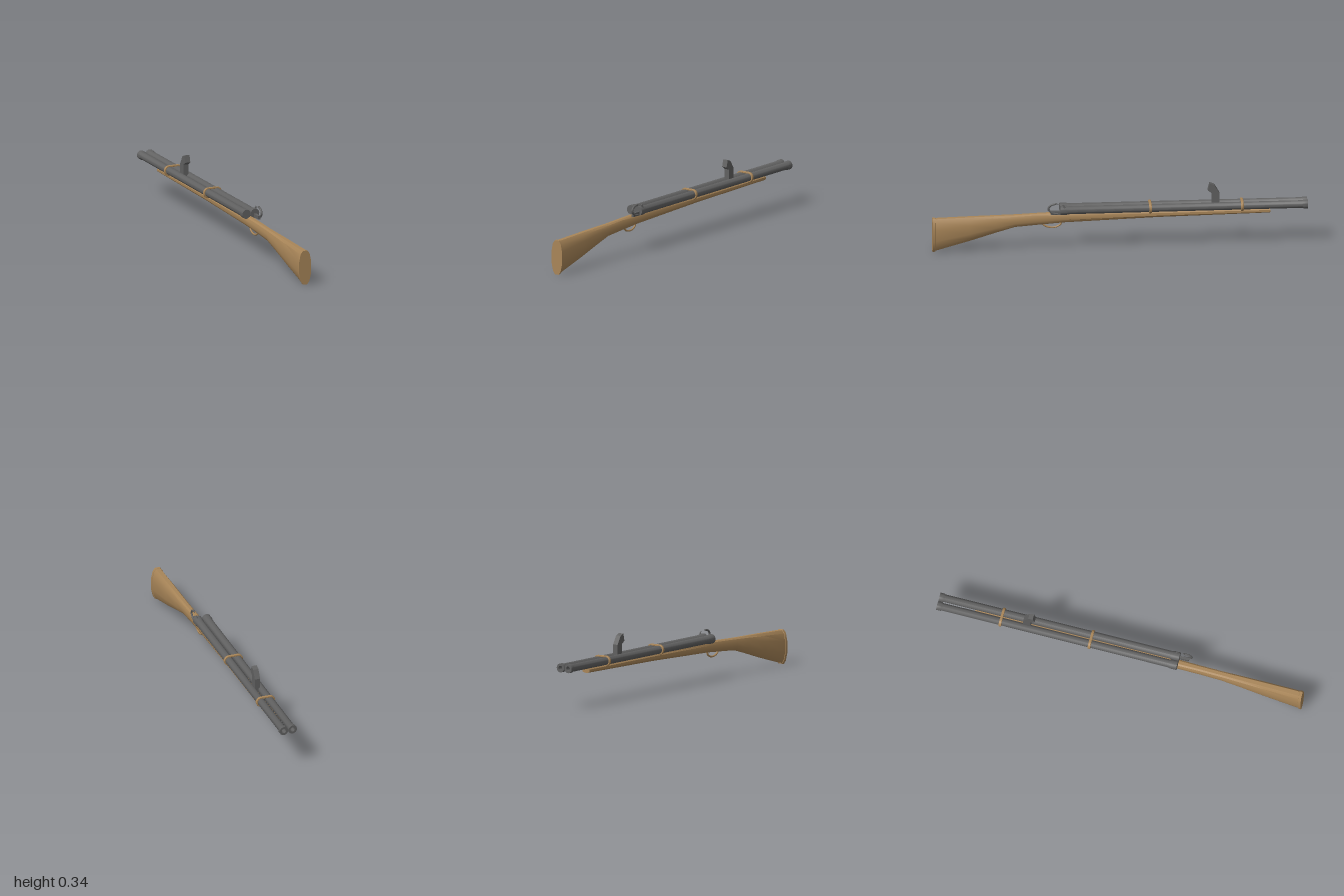
import * as THREE from 'three';
import { toCreasedNormals, mergeVertices } from 'three/addons/utils/BufferGeometryUtils.js';

const wood = new THREE.MeshStandardMaterial({ color: 0xa88558, side: THREE.DoubleSide });
const steel = new THREE.MeshStandardMaterial({ color: 0x606060 });

// Unit outline of the stock: a tall twelve-sided oval with flat top and bottom
const half = [[0.38, -1], [0.72, -0.8], [1, -0.36], [1, 0.36], [0.76, 0.8], [0.38, 1]];
const outline = [...half, ...half.map(([x, y]) => [-x, y]).reverse()];

// Skin through stations [z, bottom, top, half width], closed at both ends
function loft(stations) {
  const n = outline.length, pos = [], idx = [];
  const ring = ([z, y0, y1, w]) => outline.forEach(([x, y]) =>
    pos.push(x * w, (y0 + y1) / 2 + y * (y1 - y0) / 2, z));
  stations.forEach(ring);
  for (let s = 0; s < stations.length - 1; s++) {
    for (let i = 0; i < n; i++) {
      const a = s * n + i, b = s * n + (i + 1) % n;
      idx.push(a, a + n, b, b, a + n, b + n);
    }
  }
  const last = (stations.length - 1) * n;
  for (let i = 1; i < n - 1; i++) {
    idx.push(0, i, i + 1, last, last + i + 1, last + i);
  }
  const g = new THREE.BufferGeometry();
  g.setAttribute('position', new THREE.Float32BufferAttribute(pos, 3));
  g.setIndex(idx);
  return toCreasedNormals(mergeVertices(g), 0.5);
}

const tube = (points, radius, segments = 24) => new THREE.TubeGeometry(
  new THREE.CatmullRomCurve3(points.map(p => new THREE.Vector3(...p))), segments, radius, 8);

export function createModel() {
  const model = new THREE.Group();
  const add = (name, geometry, material, x = 0, y = 0, z = 0) => {
    const mesh = new THREE.Mesh(geometry, material);
    mesh.name = name;
    mesh.position.set(x, y, z);
    model.add(mesh);
    return mesh;
  };

  // Stock from butt to fore-end
  add('stock', loft([
    [1, 0, 0.186, 0.035], [0.985, 0.004, 0.186, 0.035], [0.984, 0.008, 0.184, 0.032],
    [0.8, 0.058, 0.189, 0.029], [0.66, 0.1, 0.192, 0.025], [0.56, 0.128, 0.194, 0.022],
    [0.44, 0.137, 0.199, 0.021], [0.3, 0.147, 0.203, 0.023],
    [-0.2, 0.163, 0.202, 0.024], [-0.8, 0.172, 0.2, 0.024],
  ]), wood);

  // Twin barrels: flared breech, flared muzzle and an open bore
  const barrelProfile = [
    [0, -0.32], [0.025, -0.32], [0.025, -0.29], [0.0215, -0.27],
    [0.0205, 0.97], [0.024, 0.978], [0.024, 1], [0.012, 1], [0.012, 0.88], [0, 0.88],
  ].map(p => new THREE.Vector2(...p));
  const barrel = toCreasedNormals(new THREE.LatheGeometry(barrelProfile, 24), 0.5).rotateX(-Math.PI / 2);
  add('leftBarrel', barrel, steel, 0.025, 0.22);
  add('rightBarrel', barrel, steel, -0.025, 0.22);

  // Bands wrapping both barrels
  const band = new THREE.Shape();
  band.absarc(0.025, 0, 0.026, -Math.PI / 2, Math.PI / 2);
  band.absarc(-0.025, 0, 0.026, Math.PI / 2, Math.PI * 1.5);
  const inner = new THREE.Path();
  inner.absarc(0.025, 0, 0.02, -Math.PI / 2, Math.PI / 2);
  inner.absarc(-0.025, 0, 0.02, Math.PI / 2, Math.PI * 1.5);
  band.holes.push(inner);
  const bandGeometry = new THREE.ExtrudeGeometry(band, {
    depth: 0.008, bevelThickness: 0.003, bevelSize: 0.002, bevelSegments: 2, curveSegments: 16,
  });
  [['rearBand', -0.16], ['frontBand', -0.65]].forEach(([name, z]) =>
    add(name, bandGeometry, wood, 0, 0.22, z - 0.004));

  // Upright sight with a hooked top, drawn in side profile
  const sight = new THREE.Shape([
    [0.49, 0.215], [0.53, 0.215], [0.53, 0.29], [0.503, 0.335],
    [0.478, 0.345], [0.468, 0.306], [0.49, 0.29],
  ].map(p => new THREE.Vector2(...p)));
  const sightGeometry = new THREE.ExtrudeGeometry(sight, { depth: 0.03, bevelEnabled: false });
  sightGeometry.translate(0, 0, -0.015).rotateY(Math.PI / 2);
  add('sight', sightGeometry, steel);

  // Lock: base, curved hammer with pointed tip, and nipple
  add('lockBase', new THREE.BoxGeometry(0.014, 0.02, 0.085), steel, 0.026, 0.208, 0.328);
  add('hammer', tube([
    [0.034, 0.203, 0.335], [0.034, 0.21, 0.365], [0.034, 0.232, 0.384],
    [0.034, 0.252, 0.372], [0.034, 0.26, 0.345],
  ], 0.0055), steel);
  const tip = add('hammerTip', new THREE.ConeGeometry(0.0055, 0.018, 8), steel, 0.034, 0.259, 0.337);
  tip.rotation.x = -Math.PI / 2 - 0.15;
  const nipple = add('nipple', new THREE.CylinderGeometry(0.003, 0.007, 0.022, 8), steel, 0.037, 0.245, 0.302);
  nipple.rotation.x = 0.4;

  // Trigger guard bow
  add('triggerGuard', tube([
    [0, 0.148, 0.415], [0, 0.13, 0.402], [0, 0.119, 0.372],
    [0, 0.121, 0.34], [0, 0.134, 0.318], [0, 0.155, 0.31],
  ], 0.005), wood);

  return model;
}
